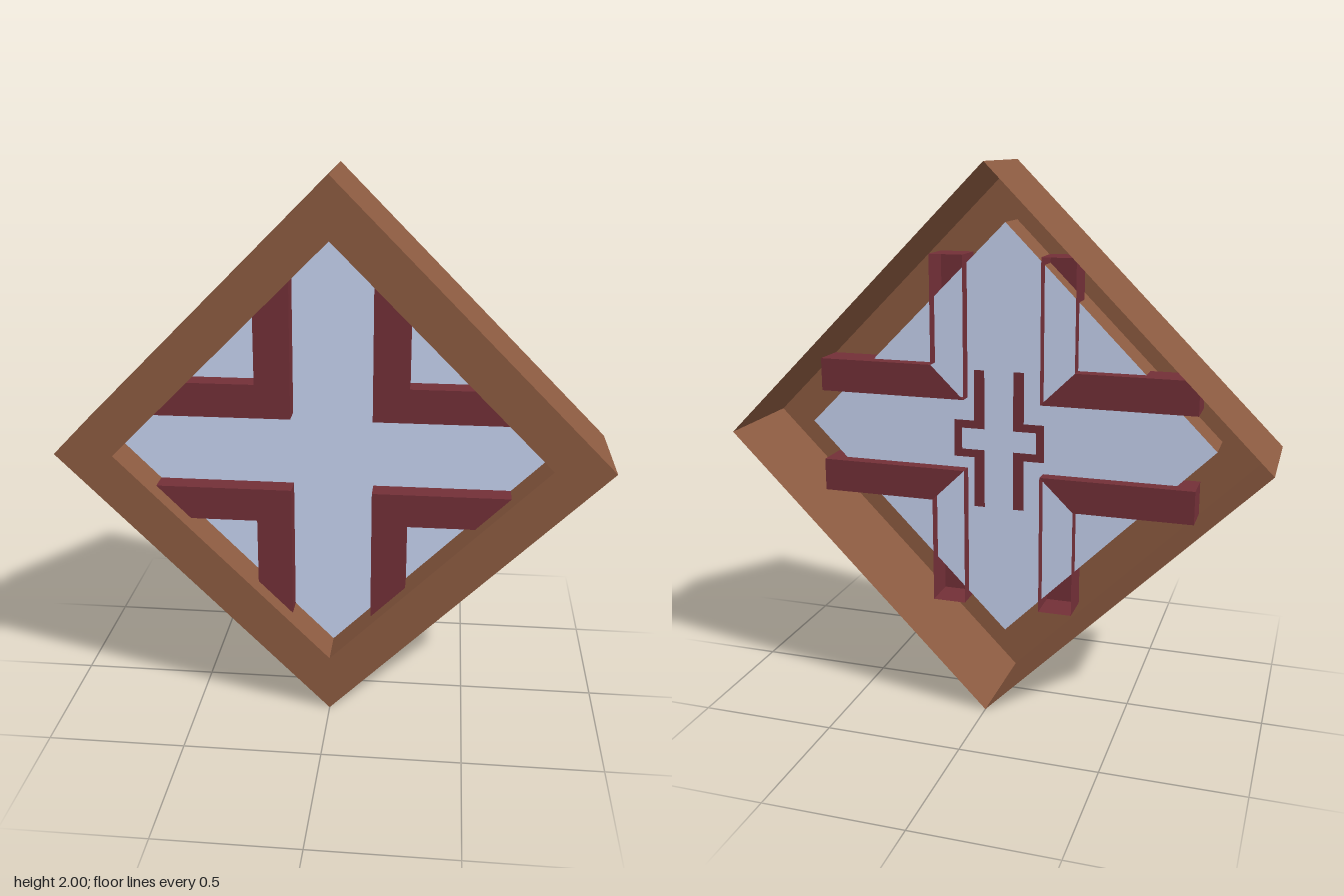
import * as THREE from 'three';

const mat = (color) => new THREE.MeshStandardMaterial({ color, side: THREE.DoubleSide, flatShading: true });
const toShape = (pts) => new THREE.Shape(pts.map(([x, y]) => new THREE.Vector2(x, y)));
const diamond = (r) => [[r, 0], [0, r], [-r, 0], [0, -r]];

// Flat sheet in the xy plane, with an optional hole
function sheet(pts, z, hole) {
  const shape = toShape(pts);
  if (hole) shape.holes.push(new THREE.Path(toShape(hole).getPoints()));
  return new THREE.ShapeGeometry(shape).translate(0, 0, z);
}

// Thin walls standing along a path, from z0 to z1
function walls(path, z0, z1) {
  const pos = [];
  for (let i = 0; i + 1 < path.length; i++) {
    const [[ax, ay], [bx, by]] = [path[i], path[i + 1]];
    pos.push(ax, ay, z0, bx, by, z0, bx, by, z1, ax, ay, z0, bx, by, z1, ax, ay, z1);
  }
  const geo = new THREE.BufferGeometry();
  geo.setAttribute('position', new THREE.Float32BufferAttribute(pos, 3));
  geo.computeVertexNormals();
  return geo;
}

export function createModel() {
  const model = new THREE.Group();
  model.name = 'diamondWindow';
  const body = new THREE.Group();
  body.name = 'window';
  body.position.y = 1;
  model.add(body);

  const wood = mat(0x8b5a40);
  const red = mat(0x722f37);
  const glass = mat(0xc6d2f0);
  const add = (parent, name, geo, material) => {
    const mesh = new THREE.Mesh(geo, material);
    mesh.name = name;
    parent.add(mesh);
    return mesh;
  };

  // Frame: outer shell open at the back, front rim and recessed inner lip
  const outer = diamond(1);
  const inner = diamond(0.785);
  add(body, 'frameSides', walls([...outer, outer[0]], -0.2, 0.2), wood);
  add(body, 'frameRim', sheet(outer, 0.2, inner), wood);
  add(body, 'frameLip', walls([...inner, inner[0]], 0.05, 0.2), wood);

  // Pane
  add(body, 'pane', sheet(inner, 0.05), glass);

  // Four L-shaped glazing bars piercing the pane, mirrored into each quarter
  const x0 = 0.147, x1 = 0.275, y0 = 0.137, y1 = 0.262, back = 0, front = 0.13;
  const across = [[x0, y0], [0.72, y0], [0.72, y1], [x1, y1]];
  const upright = [[x1, y1], [x1, 0.67], [x0, 0.67], [x0, y0]];
  for (const sx of [1, -1]) {
    for (const sy of [1, -1]) {
      const bar = new THREE.Group();
      bar.name = 'glazingBar';
      bar.scale.set(sx, sy, 1);
      body.add(bar);
      add(bar, 'barAcrossFront', sheet(across, front), red);
      add(bar, 'barAcrossBack', sheet(across, back), red);
      add(bar, 'barAcrossSides', walls(across, back, front), red);
      // The upright arm is a channel, open at the back
      add(bar, 'barUprightFront', sheet(upright, front), red);
      add(bar, 'barUprightSides', walls(upright, back, front), red);
    }
  }

  // Small cross outline behind the pane, open at the top and bottom
  const half = [
    [0.095, 0.26], [0.095, 0.07], [0.172, 0.07], [0.172, -0.07], [0.095, -0.07], [0.095, -0.26],
    [0.055, -0.26], [0.055, -0.04], [0.142, -0.04], [0.142, 0.04], [0.055, 0.04], [0.055, 0.26],
  ];
  for (const sx of [1, -1]) {
    add(body, 'backCrossTrim', sheet(half, -0.03), red).scale.x = sx;
  }
  return model;
}
